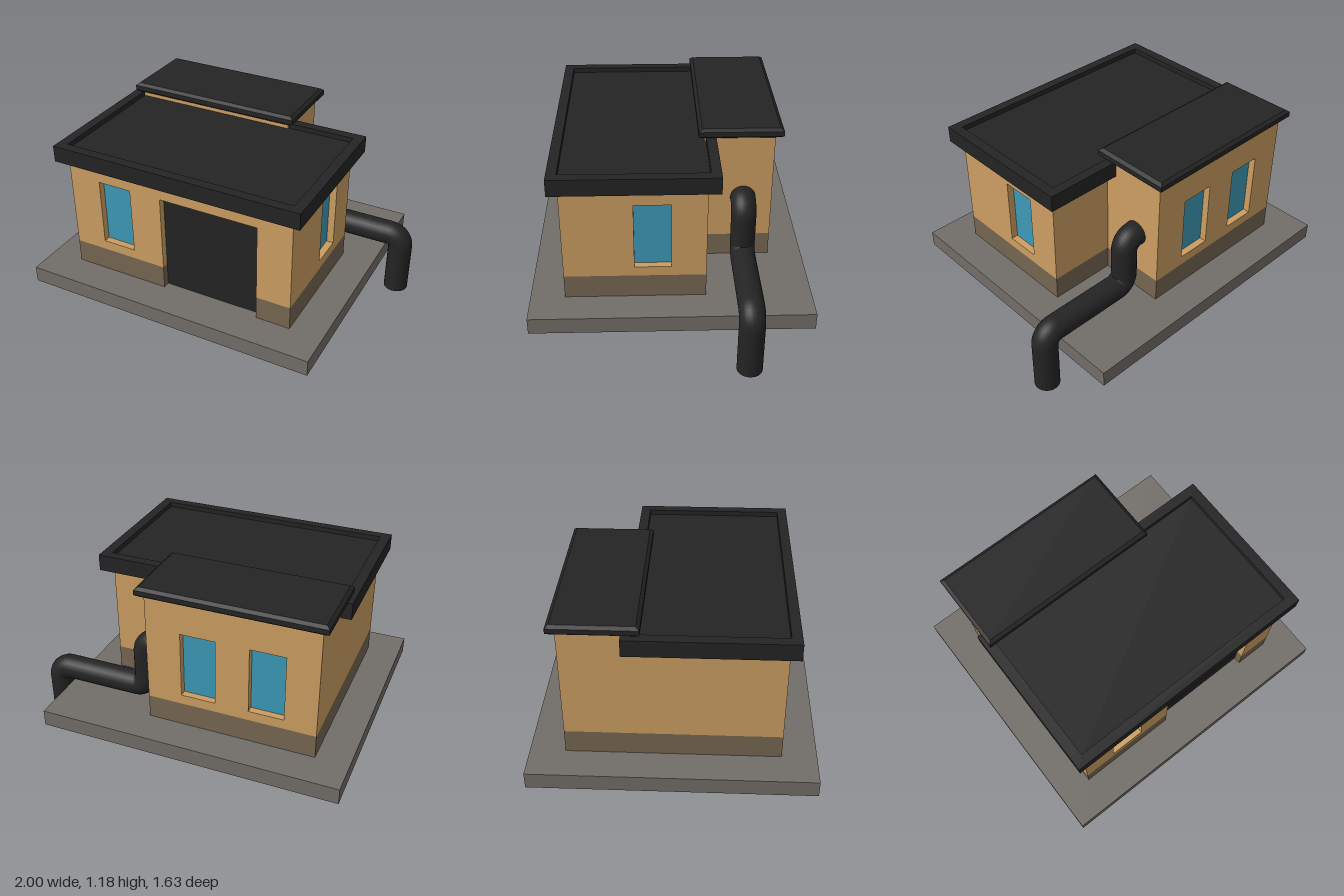
import * as THREE from 'three';

const flat = (name, color) => {
  const m = new THREE.MeshStandardMaterial({ color });
  m.name = name;
  return m;
};

export function createModel() {
  const root = new THREE.Group();
  const wall = flat('ochre wall', 0xcc9e62);
  const plinth = flat('brown plinth', 0x766652);
  const concrete = flat('grey concrete', 0x726d68);
  const black = flat('black', 0x242424);
  const glass = flat('blue glass', 0x3d99b7);

  const add = (name, geometry, material, parent = root) => {
    const mesh = new THREE.Mesh(geometry, material);
    mesh.name = name;
    parent.add(mesh);
    return mesh;
  };

  // Box given by its lower and upper corners
  const box = (name, material, [x0, y0, z0], [x1, y1, z1], parent) => {
    const g = new THREE.BoxGeometry(x1 - x0, y1 - y0, z1 - z0);
    g.translate((x0 + x1) / 2, (y0 + y1) / 2, (z0 + z1) / 2);
    return add(name, g, material, parent);
  };

  const rect = (x0, y0, x1, y1, Type = THREE.Shape) => new Type([
    [x0, y0], [x1, y0], [x1, y1], [x0, y1],
  ].map(p => new THREE.Vector2(...p)));

  const GROUND = 0.305, BAND = 0.45, SILL = 0.51, HEAD = 0.92, DEPTH = 0.05;

  // Pierced outer layer of a wall: u runs along the wall, outer face at local z = 0.
  // Windows are [u0, u1]; an optional door cuts down to the ground.
  const facade = (name, u0, u1, top, windows, door) => {
    const group = new THREE.Group();
    group.name = name;
    const panel = (label, shape, material) => {
      const g = new THREE.ExtrudeGeometry(shape, { depth: DEPTH, bevelEnabled: false });
      add(label, g.translate(0, 0, -DEPTH), material, group);
    };
    const outline = [[u1, BAND], [u1, top], [u0, top], [u0, BAND]];
    if (door) outline.push([door[0], BAND], [door[0], HEAD], [door[1], HEAD], [door[1], BAND]);
    const upper = new THREE.Shape(outline.map(p => new THREE.Vector2(...p)));
    for (const [a, b] of windows) {
      upper.holes.push(rect(a, SILL, b, HEAD, THREE.Path));
      box('windowPane', glass, [a, SILL, -DEPTH], [b, HEAD, -DEPTH + 0.008], group);
    }
    panel('upperWall', upper, wall);
    const bands = door ? [[u0, door[0]], [door[1], u1]] : [[u0, u1]];
    for (const [a, b] of bands) panel('plinthBand', rect(a, GROUND, b, BAND), plinth);
    if (door) box('door', black, [door[0], GROUND, -DEPTH], [door[1], HEAD, -DEPTH + 0.008], group);
    root.add(group);
    return group;
  };

  // Solid body behind the facades, split into plinth and wall
  const core = (name, x0, x1, z0, z1, top) => {
    box(name + 'Plinth', plinth, [x0, GROUND, z0], [x1, BAND, z1]);
    box(name + 'Wall', wall, [x0, BAND, z0], [x1, top, z1]);
  };

  // Foundation
  box('foundationSlab', concrete, [-1, 0.205, -0.815], [0.83, GROUND, 0.815]);

  // Main hall
  core('mainHall', -0.8, 0.63 - DEPTH, -0.2, 0.615 - DEPTH, 1.03);
  facade('frontFacade', -0.8, 0.63, 1.03, [[-0.6, -0.39]], [-0.19, 0.42]).position.z = 0.615;
  const side = facade('sideFacade', DEPTH - 0.615, 0.2, 1.03, [[-0.21, 0]]);
  side.rotation.y = Math.PI / 2;
  side.position.x = 0.63;

  // Rear annex
  core('annex', -0.8, 0.22, -0.61 + DEPTH, -0.2, 1.125);
  const back = facade('backFacade', -0.22, 0.8, 1.125, [[-0.01, 0.2], [0.4, 0.61]]);
  back.rotation.y = Math.PI;
  back.position.z = -0.61;

  // Main roof: raised rim around a sunken deck
  const rim = rect(-0.86, -0.67, 0.69, 0.268);
  rim.holes.push(rect(-0.8, -0.612, 0.63, 0.21, THREE.Path));
  const rimGeo = new THREE.ExtrudeGeometry(rim, { depth: 0.1, bevelEnabled: false });
  add('mainRoofRim', rimGeo.rotateX(-Math.PI / 2).translate(0, 1.02, 0), black);
  box('mainRoofDeck', black, [-0.8, 1.025, -0.21], [0.63, 1.09, 0.612]);

  // Annex roof with chamfered edges
  const cap = new THREE.ExtrudeGeometry(rect(-0.82, 0.185, 0.24, 0.633), {
    depth: 0.03, bevelThickness: 0.015, bevelSize: 0.02, bevelSegments: 1,
  });
  add('annexRoof', cap.rotateX(-Math.PI / 2).translate(0, 1.137, 0), black);

  // Drain pipe: straight runs joined by quarter-turn elbows
  const pipe = new THREE.Group();
  pipe.name = 'drainPipe';
  pipe.position.z = -0.437;
  root.add(pipe);
  const R = 0.075;
  const run = (x0, y0, x1, y1) => {
    const g = new THREE.CylinderGeometry(R, R, Math.hypot(x1 - x0, y1 - y0), 24);
    if (y0 === y1) g.rotateZ(Math.PI / 2);
    add('pipeRun', g.translate((x0 + x1) / 2, (y0 + y1) / 2, 0), black, pipe);
  };
  const elbow = (x, y, turn) => {
    const g = new THREE.TorusGeometry(R, R, 24, 10, Math.PI / 2);
    add('pipeElbow', g.rotateZ(turn).translate(x, y, 0), black, pipe);
  };
  run(0.925, 0, 0.925, 0.315);
  elbow(0.85, 0.315, 0);
  run(0.39, 0.39, 0.85, 0.39);
  elbow(0.39, 0.465, Math.PI);
  run(0.315, 0.465, 0.315, 0.64);
  elbow(0.24, 0.64, 0);
  run(0.2, 0.715, 0.24, 0.715);

  return root;
}
